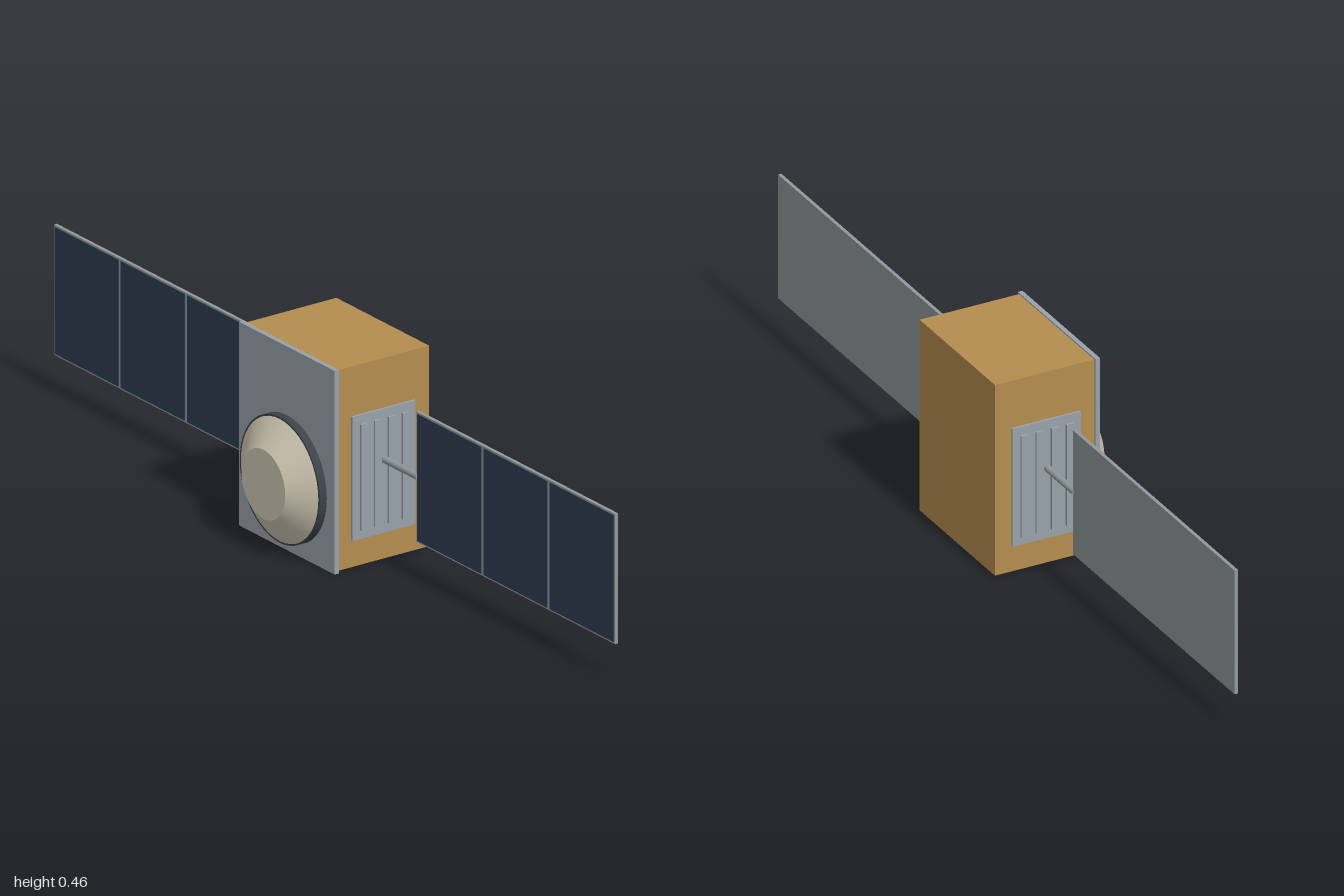
import * as THREE from 'three';

const mat = (name, color) => {
  const m = new THREE.MeshStandardMaterial({ color });
  m.name = name;
  return m;
};

export function createModel() {
  const gold = mat('gold foil', 0xb58d4f);
  const grey = mat('panel grey', 0x98a2aa);
  const frame = mat('frame grey', 0x90989b);
  const navy = mat('solar navy', 0x2d3c50);
  const cream = mat('dish cream', 0xcfc7b2);
  const dark = mat('dark rim', 0x3c4248);

  const root = new THREE.Group();
  root.name = 'satellite';

  // Box given by its lower and upper corners
  const box = (parent, name, material, lo, hi) => {
    const size = hi.map((v, i) => Math.abs(v - lo[i]));
    const mesh = new THREE.Mesh(new THREE.BoxGeometry(...size), material);
    mesh.position.set(...hi.map((v, i) => (v + lo[i]) / 2));
    mesh.name = name;
    parent.add(mesh);
    return mesh;
  };

  // Cylinder or cone frustum along +z, starting at z0
  const discZ = (name, material, rBack, rFront, z0, z1) => {
    const geo = new THREE.CylinderGeometry(rFront, rBack, z1 - z0, 48);
    geo.rotateX(Math.PI / 2);
    const mesh = new THREE.Mesh(geo, material);
    mesh.position.set(0, 0.163, (z0 + z1) / 2);
    mesh.name = name;
    root.add(mesh);
  };

  // Body and front plate
  box(root, 'body', gold, [-0.165, 0.004, -0.154], [0.165, 0.457, 0.083]);
  box(root, 'frontPlate', grey, [-0.17, 0, 0.083], [0.17, 0.46, 0.094]);

  // Antenna: dark rim and cream frustum
  discZ('antennaRim', dark, 0.142, 0.142, 0.094, 0.113);
  discZ('antennaCone', cream, 0.138, 0.078, 0.113, 0.155);

  for (const s of [1, -1]) {
    const side = new THREE.Group();
    side.name = s > 0 ? 'leftSide' : 'rightSide';
    root.add(side);
    const sideBox = (name, material, lo, hi) =>
      box(side, name, material, [s * lo[0], lo[1], lo[2]], [s * hi[0], hi[1], hi[2]]);

    // Radiator with upright fins
    sideBox('radiator', grey, [0.165, 0.065, -0.115], [0.171, 0.345, 0.048]);
    for (let i = 0; i < 4; i++) {
      const z = -0.0335 + (i - 1.5) * 0.036;
      sideBox('radiatorFin', grey, [0.171, 0.085, z - 0.009], [0.176, 0.325, z + 0.009]);
    }

    // Boom
    const boom = new THREE.Mesh(new THREE.CylinderGeometry(0.008, 0.008, 0.13, 20), frame);
    boom.rotation.z = Math.PI / 2;
    boom.position.set(s * 0.23, 0.232, -0.0325);
    boom.name = 'boom';
    side.add(boom);

    // Solar wing with three cells on the front
    sideBox('wingFrame', frame, [0.293, 0.085, -0.037], [1, 0.379, -0.029]);
    const pitch = 0.2357;
    for (let i = 0; i < 3; i++) {
      const x = 0.293 + i * pitch;
      sideBox('solarCell', navy, [x + 0.004, 0.089, -0.029], [x + pitch - 0.005, 0.375, -0.0275]);
    }
  }

  return root;
}
